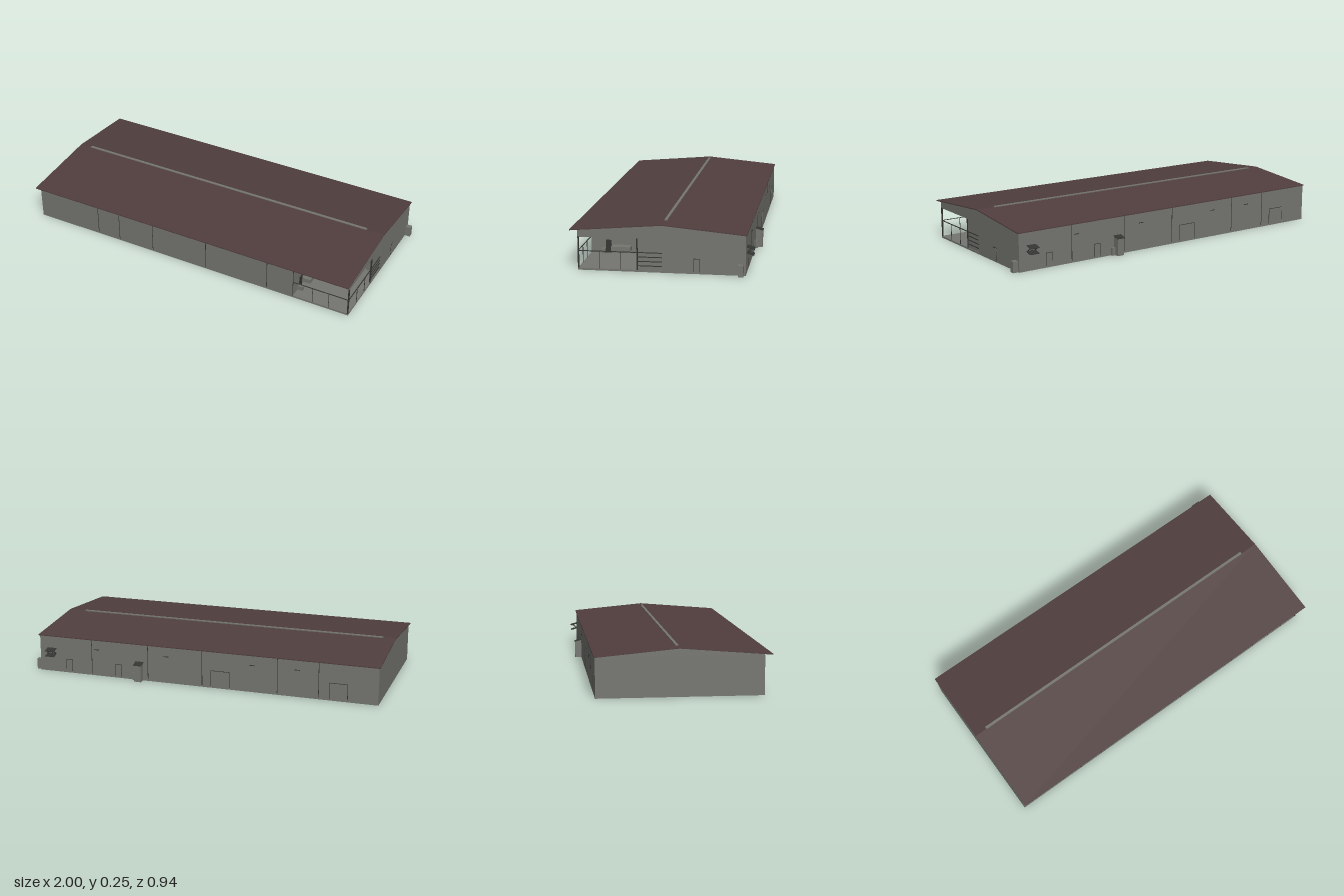
import * as THREE from 'three';

export function createModel() {
  const root = new THREE.Group();
  root.name = 'warehouse';
  const mat = (name, color) => {
    const m = new THREE.MeshStandardMaterial({ color });
    m.name = name;
    return m;
  };
  const grey = mat('wallGrey', 0x757670);
  const maroon = mat('roofMaroon', 0x513e3e);
  const dark = mat('darkTrim', 0x343432);

  const add = (name, geometry, material) => {
    const m = new THREE.Mesh(geometry, material);
    m.name = name;
    root.add(m);
    return m;
  };
  // Box given by its limits on each axis
  const box = (name, x0, x1, y0, y1, z0, z1, material = grey) => {
    const g = new THREE.BoxGeometry(x1 - x0, y1 - y0, z1 - z0);
    g.translate((x0 + x1) / 2, (y0 + y1) / 2, (z0 + z1) / 2);
    return add(name, g, material);
  };
  // Side profile of [z, y] points, extruded from x0 to x1
  const prism = (name, points, x0, x1, material = grey) => {
    const s = new THREE.Shape(points.map(([z, y]) => new THREE.Vector2(-z, y)));
    const g = new THREE.ExtrudeGeometry(s, { depth: x1 - x0, bevelEnabled: false });
    g.rotateY(Math.PI / 2);
    g.translate(x0, 0, 0);
    return add(name, g, material);
  };

  // Foundation and main hall, leaving the front corner open
  const F = 0.43, B = -0.43, R = -0.005, E = 0.97, P = 0.645;
  box('floorSlab', -0.995, E, 0, 0.01, B, F);
  prism('mainHall', [[B, 0.01], [F, 0.01], [F, 0.208], [R, 0.246], [B, 0.206]], -0.995, P);
  prism('rearHall', [[B, 0.01], [R, 0.01], [R, 0.246], [B, 0.206]], P, E);

  // Walls around the open corner
  prism('gableLintel', [[R, 0.173], [F, 0.173], [F, 0.208], [R, 0.246]], E - 0.008, E);
  box('frontLintel', P, E, 0.175, 0.208, F - 0.008, F);
  box('cornerPost', E - 0.007, E, 0.01, 0.175, F - 0.007, F, dark);
  box('gablePost', E - 0.007, E, 0.01, 0.174, 0.119, 0.126, dark);
  box('gableRail', E - 0.004, E, 0.099, 0.103, 0.12, F, dark);
  box('frontRail', P, E, 0.099, 0.102, F - 0.004, F, dark);
  for (const x of [0.76, 0.855]) box('frontPost', x - 0.001, x + 0.001, 0.01, 0.1, F - 0.003, F, dark);
  for (const z of [0.21, 0.315]) box('gableMullion', E - 0.003, E, 0.01, 0.1, z - 0.001, z + 0.001, dark);

  // Slatted door in the gable
  box('gableDoor', E - 0.01, E - 0.004, 0.01, 0.173, R, 0.12);
  for (const y of [0.032, 0.055, 0.078, 0.101])
    box('doorSlat', E - 0.004, E, y - 0.002, y + 0.002, R, 0.12, dark);

  // Fittings inside the open corner
  box('innerDoor', P, P + 0.004, 0.01, 0.08, 0.32, 0.35, dark);
  box('bench', P, P + 0.05, 0.03, 0.055, 0.21, 0.315);
  box('innerStep', P, P + 0.03, 0.01, 0.037, 0.35, 0.37);
  box('cabinet', 0.905, 0.955, 0.01, 0.08, 0.0, 0.03);

  // Roof in two pitches with a long ridge vent
  const roofX = [-1, 0.978];
  const t = 0.005;
  prism('frontRoof', [[R, 0.251 - t], [0.47, 0.212 - t], [0.47, 0.212], [R, 0.251]], ...roofX, maroon);
  prism('rearRoof', [[-0.435, 0.211 - t], [R, 0.251 - t], [R, 0.251], [-0.435, 0.211]], ...roofX, maroon);
  box('ridgeVent', -0.93, 0.875, 0.248, 0.255, -0.018, -0.003);

  // Vertical joints in the long walls
  for (const x of [-0.6, -0.457, -0.235, 0.108, 0.487, P])
    box('frontJoint', x - 0.0015, x + 0.0015, 0.01, 0.206, F, F + 0.001, dark);
  for (const x of [-0.67, -0.44, -0.01, 0.31, 0.65])
    box('rearJoint', x - 0.0015, x + 0.0015, 0.01, 0.204, B - 0.001, B, dark);

  // Doors outlined on the rear wall: [left edge, right edge, top]
  for (const [a, b, h] of [[-0.83, -0.73, 0.1], [-0.17, -0.06, 0.1], [0.47, 0.51, 0.08], [0.77, 0.81, 0.08]]) {
    box('rearDoorFrame', a, b, 0.01, h, B - 0.001, B, dark);
    box('rearDoor', a + 0.003, b - 0.003, 0.01, h - 0.003, B - 0.002, B);
  }
  // Small wall vents
  for (const x of [-0.55, -0.3, 0.2, 0.62])
    box('wallVent', x - 0.015, x + 0.015, 0.15, 0.154, B - 0.002, B, dark);
  // Door outline in the gable
  box('sideDoorFrame', E, E + 0.001, 0.01, 0.08, -0.2, -0.165, dark);
  box('sideDoor', E, E + 0.002, 0.01, 0.077, -0.197, -0.168);

  // Service cabinets outside the rear and the gable
  prism('rearCabinet', [[-0.467, 0], [B, 0], [B, 0.105], [-0.467, 0.095]], 0.34, 0.38);
  prism('rearCabinetLid', [[-0.47, 0.094], [B, 0.105], [B, 0.108], [-0.47, 0.097]], 0.336, 0.384, dark);
  box('meterBox', 0.38, 0.4, 0, 0.042, -0.443, B);
  box('sideCabinet', E, 1, 0, 0.06, -0.42, -0.394);

  // Rear canopy with slanted braces
  prism('canopy', [[-0.47, 0.124], [B, 0.135], [B, 0.138], [-0.47, 0.127]], 0.87, 0.925, dark);
  for (const x of [0.873, 0.918])
    prism('canopyBrace', [[B, 0.104], [B, 0.108], [-0.46, 0.129], [-0.46, 0.125]], x, x + 0.004, dark);
  prism('canopyShelf', [[-0.467, 0.094], [B, 0.105], [B, 0.108], [-0.467, 0.097]], 0.87, 0.925, dark);

  return root;
}
